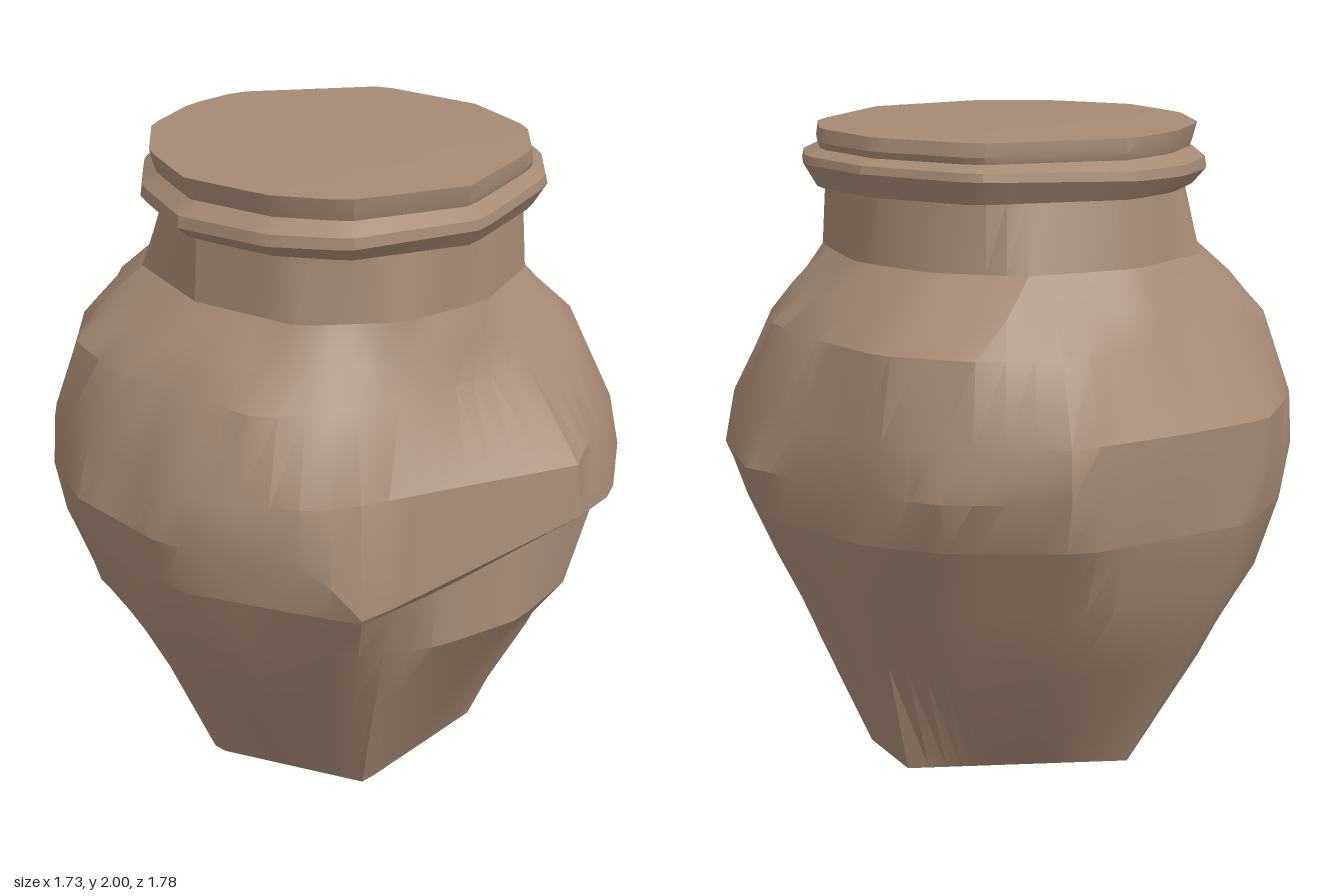
import * as THREE from 'three';
import { toCreasedNormals } from 'three/addons/utils/BufferGeometryUtils.js';

const SIDES = 60;

// Point where a ray from the axis crosses a polygon of [x, z, y?] corners.
function castRay(y, corners, angle) {
  const dx = Math.sin(angle), dz = Math.cos(angle);
  for (let i = 0; i < corners.length; i++) {
    const a = corners[i], b = corners[(i + 1) % corners.length];
    const ca = a[0] * dz - a[1] * dx, cb = b[0] * dz - b[1] * dx;
    if (ca * cb > 0 || ca === cb) continue;
    const t = ca / (ca - cb);
    const r = (a[0] + (b[0] - a[0]) * t) * dx + (a[1] + (b[1] - a[1]) * t) * dz;
    if (r <= 0) continue;
    const ya = a[2] ?? y, yb = b[2] ?? y;
    return [r * dx, ya + (yb - ya) * t, r * dz];
  }
  return [0, y, 0];
}

// Skin stacked polygon sections, with optional flat ends.
function loft(sections, capBottom, capTop) {
  const rings = sections.map(([y, corners]) =>
    Array.from({ length: SIDES }, (_, i) => castRay(y, corners, ((i + 0.013) / SIDES) * Math.PI * 2)));
  const pos = [];
  const tri = (...points) => points.forEach((p) => pos.push(...p));
  for (let i = 0; i < SIDES; i++) {
    const k = (i + 1) % SIDES;
    for (let j = 0; j < rings.length - 1; j++) {
      const lo = rings[j], hi = rings[j + 1];
      tri(lo[i], lo[k], hi[k]);
      tri(lo[i], hi[k], hi[i]);
    }
    const first = rings[0], last = rings[rings.length - 1];
    if (capBottom) tri([0, sections[0][0], 0], first[k], first[i]);
    if (capTop) tri([0, sections[sections.length - 1][0], 0], last[i], last[k]);
  }
  const geo = new THREE.BufferGeometry();
  geo.setAttribute('position', new THREE.Float32BufferAttribute(pos, 3));
  return toCreasedNormals(geo, 0.42);
}

// Same outline scaled and tilted, for the rim bands.
const band = (y, scale, tilt = 0) =>
  [y, lidOutline.map(([x, z]) => [x * scale + 0.012, z * scale, y + x * tilt])];

const lidOutline = [[0, 0.59], [0.38, 0.46], [0.54, 0.28], [0.59, 0], [0.5, -0.34], [0.1, -0.59],
  [-0.1, -0.58], [-0.33, -0.48], [-0.5, -0.27], [-0.58, 0], [-0.5, 0.28], [-0.36, 0.46]];

const neckBase = [1.61, [[-0.45, 0.35], [-0.2, 0.53], [0.1, 0.56], [0.4, 0.43], [0.57, 0.1], [0.56, -0.2],
  [0.42, -0.45], [0.1, -0.6], [-0.25, -0.56], [-0.48, -0.35], [-0.55, 0]]];

// Chipped base with broad flat facets, up to the broken ledge at the front
const underLedge = [0.84, [[-0.5, 0.69, 0.79], [-0.2, 0.72, 0.82], [0.15, 0.73, 0.86], [0.5, 0.67, 0.88],
  [0.66, 0.52], [0.83, 0.2], [0.83, -0.2], [0.73, -0.43], [0.46, -0.73], [-0.12, -0.87],
  [-0.47, -0.73], [-0.74, -0.45], [-0.84, -0.1], [-0.83, 0.25], [-0.7, 0.5]]];
const lowerSections = [
  [0, [[-0.22, 0.39], [0.36, 0.29], [0.47, 0], [-0.06, -0.47], [-0.45, -0.08]]],
  [0.38, [[-0.3, 0.55], [0, 0.56], [0.41, 0.48], [0.54, 0.32], [0.63, 0], [0.56, -0.25], [0.3, -0.56],
    [-0.1, -0.69], [-0.42, -0.5], [-0.64, -0.05], [-0.58, 0.25]]],
  [0.62, [[-0.45, 0.6], [-0.2, 0.71], [0.1, 0.745], [0.38, 0.66], [0.55, 0.5], [0.74, 0.15], [0.74, -0.15],
    [0.62, -0.38], [0.33, -0.7], [-0.1, -0.81], [-0.45, -0.66], [-0.7, -0.35], [-0.78, 0], [-0.73, 0.3]]],
  underLedge,
];

// Overhanging ledge, belly and shoulder
const upperSections = [
  underLedge,
  [1.0, [[-0.5, 0.7, 0.8], [-0.15, 0.8, 0.9], [0.18, 0.9, 1], [0.5, 0.74, 0.92], [0.68, 0.59], [0.865, 0.28],
    [0.85, -0.1], [0.83, -0.33], [0.77, -0.48], [0.53, -0.74], [0.2, -0.82], [-0.16, -0.89],
    [-0.5, -0.74], [-0.76, -0.48], [-0.87, -0.2], [-0.87, 0.2], [-0.83, 0.33], [-0.64, 0.61]]],
  [1.16, [[-0.5, 0.66], [-0.15, 0.77], [0.19, 0.88], [0.3, 0.8], [0.5, 0.7], [0.68, 0.55], [0.82, 0.2],
    [0.835, -0.3], [0.74, -0.5], [0.52, -0.74], [0.2, -0.83], [-0.16, -0.9], [-0.5, -0.73],
    [-0.76, -0.46], [-0.84, -0.2], [-0.8, 0], [-0.84, 0.2], [-0.78, 0.38], [-0.62, 0.6]]],
  [1.4, [[-0.45, 0.55], [-0.1, 0.61], [0.25, 0.64], [0.48, 0.58], [0.65, 0.4], [0.74, 0.15], [0.79, -0.22],
    [0.67, -0.48], [0.42, -0.66], [-0.1, -0.75], [-0.5, -0.63], [-0.7, -0.4], [-0.76, -0.12],
    [-0.71, 0.1], [-0.66, 0.4]]],
  [1.5, [[-0.45, 0.45], [-0.1, 0.59], [0.25, 0.59], [0.5, 0.46], [0.66, 0.12], [0.69, -0.2],
    [0.55, -0.48], [0.1, -0.68], [-0.35, -0.63], [-0.6, -0.4], [-0.67, -0.1], [-0.62, 0.2]]],
  neckBase,
];

export function createModel() {
  const group = new THREE.Group();
  const clay = new THREE.MeshStandardMaterial({ color: 0xa68a74 });
  clay.name = 'brown clay';
  const add = (name, sections, capBottom = false, capTop = false) => {
    const mesh = new THREE.Mesh(loft(sections, capBottom, capTop), clay);
    mesh.name = name;
    group.add(mesh);
  };

  add('lowerBody', lowerSections, true);
  add('upperBody', upperSections);
  add('neck', [neckBase, band(1.82, 0.95)]);
  // Flared rim band, slightly tilted
  add('rim', [band(1.815, 0.93), band(1.815, 1.0), band(1.87, 1.07, 0.03), band(1.9, 1.06, 0.02), band(1.93, 0.98)]);
  add('lid', [band(1.925, 0.98), band(1.95, 0.995), [2, lidOutline.map(([x, z]) => [x, z, 1.995 - x * 0.008])]],
    false, true);
  return group;
}
